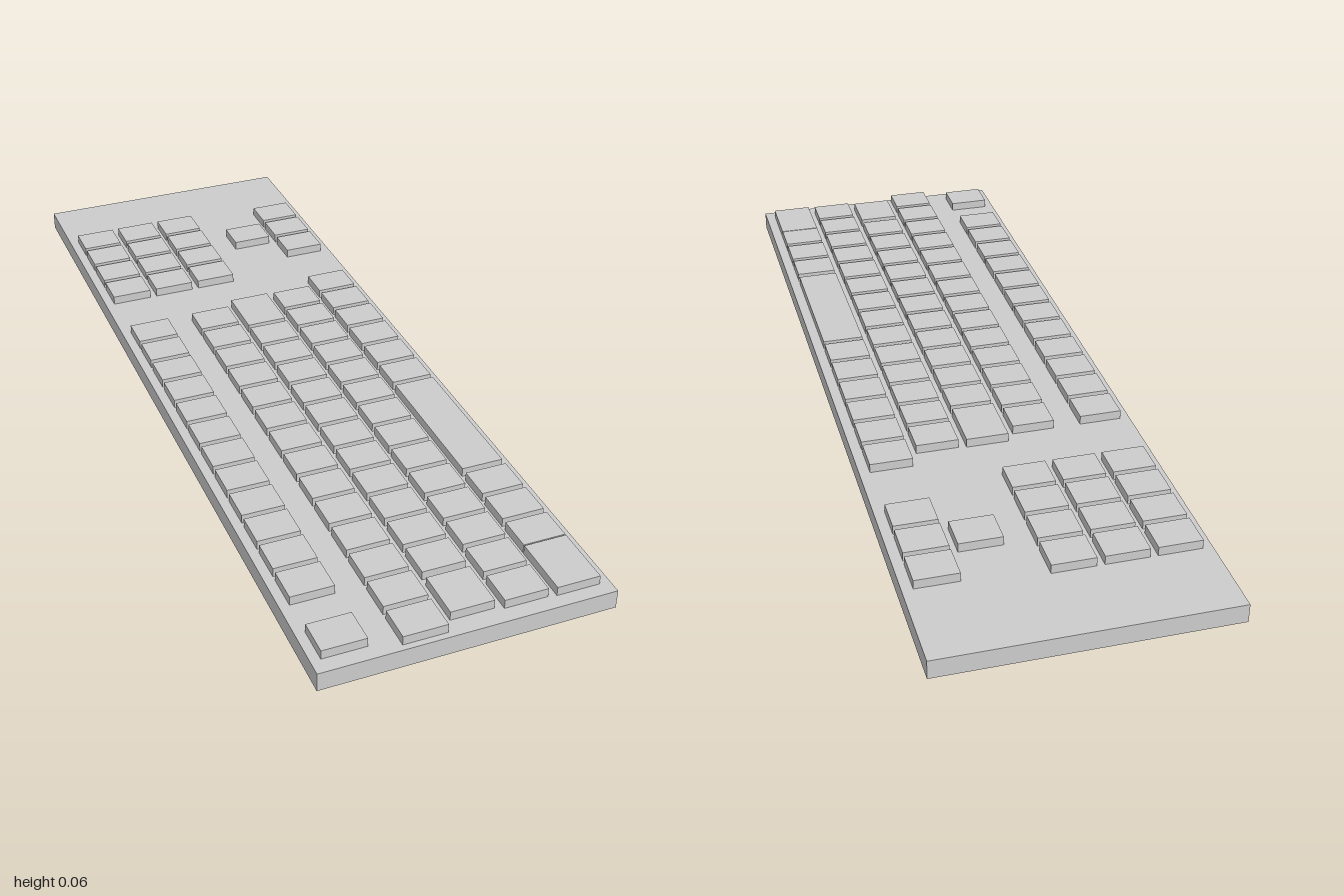
import * as THREE from 'three';

const KEY_W = 0.098, KEY_L = 0.08, PITCH = 0.0927;
const BASE_H = 0.044, KEY_H = 0.021;

export function createModel() {
  const group = new THREE.Group();
  group.name = 'keyboard';
  const material = new THREE.MeshStandardMaterial({ color: 0xcccccc, flatShading: true });

  // Flat slab standing on the ground
  const base = new THREE.Mesh(new THREE.BoxGeometry(0.654, BASE_H, 2), material);
  base.name = 'base';
  base.position.y = BASE_H / 2;
  group.add(base);

  const section = (name) => {
    const g = new THREE.Group();
    g.name = name;
    group.add(g);
    return g;
  };

  // One key, placed by its low x edge and its z range
  const key = (parent, name, x, z0, z1 = z0 + KEY_L) => {
    const mesh = new THREE.Mesh(new THREE.BoxGeometry(KEY_W, KEY_H, z1 - z0), material);
    mesh.name = name;
    mesh.position.set(x + KEY_W / 2, BASE_H + KEY_H / 2, (z0 + z1) / 2);
    parent.add(mesh);
  };

  // Evenly spaced run of standard keys along z
  const run = (parent, name, x, z0, count) => {
    for (let i = 0; i < count; i++) key(parent, name, x, z0 + i * PITCH);
  };

  // Top row and the separate escape key
  const topRow = section('topRow');
  run(topRow, 'topRowKey', -0.305, -0.299, 12);
  key(topRow, 'escapeKey', -0.305, 0.885);

  // Number row
  run(section('numberRow'), 'numberKey', -0.143, -0.299, 14);

  // Upper letter row, with wider end keys
  const upperRow = section('upperLetterRow');
  key(upperRow, 'wideEndKey', -0.027, -0.325, -0.193);
  run(upperRow, 'letterKey', -0.027, -0.18, 11);
  key(upperRow, 'tabKey', -0.027, 0.845, 0.956);

  // Middle letter row
  run(section('middleLetterRow'), 'letterKey', 0.089, -0.321, 14);

  // Bottom row with the long space bar
  const bottomRow = section('bottomRow');
  run(bottomRow, 'bottomKey', 0.205, -0.368, 6);
  key(bottomRow, 'spaceBar', 0.205, 0.188, 0.544);
  run(bottomRow, 'bottomKey', 0.205, 0.56, 3);
  key(bottomRow, 'wideCornerKey', 0.205, 0.828, 0.968);

  // Navigation block: three columns of four
  const navigation = section('navigationBlock');
  for (let c = 0; c < 3; c++) run(navigation, 'navigationKey', -0.305 + c * 0.115, -0.808, 4);

  // Arrow keys
  const arrows = section('arrowKeys');
  run(arrows, 'arrowKey', 0.205, -0.786, 3);
  key(arrows, 'arrowKeyUp', 0.089, -0.693);

  return group;
}
